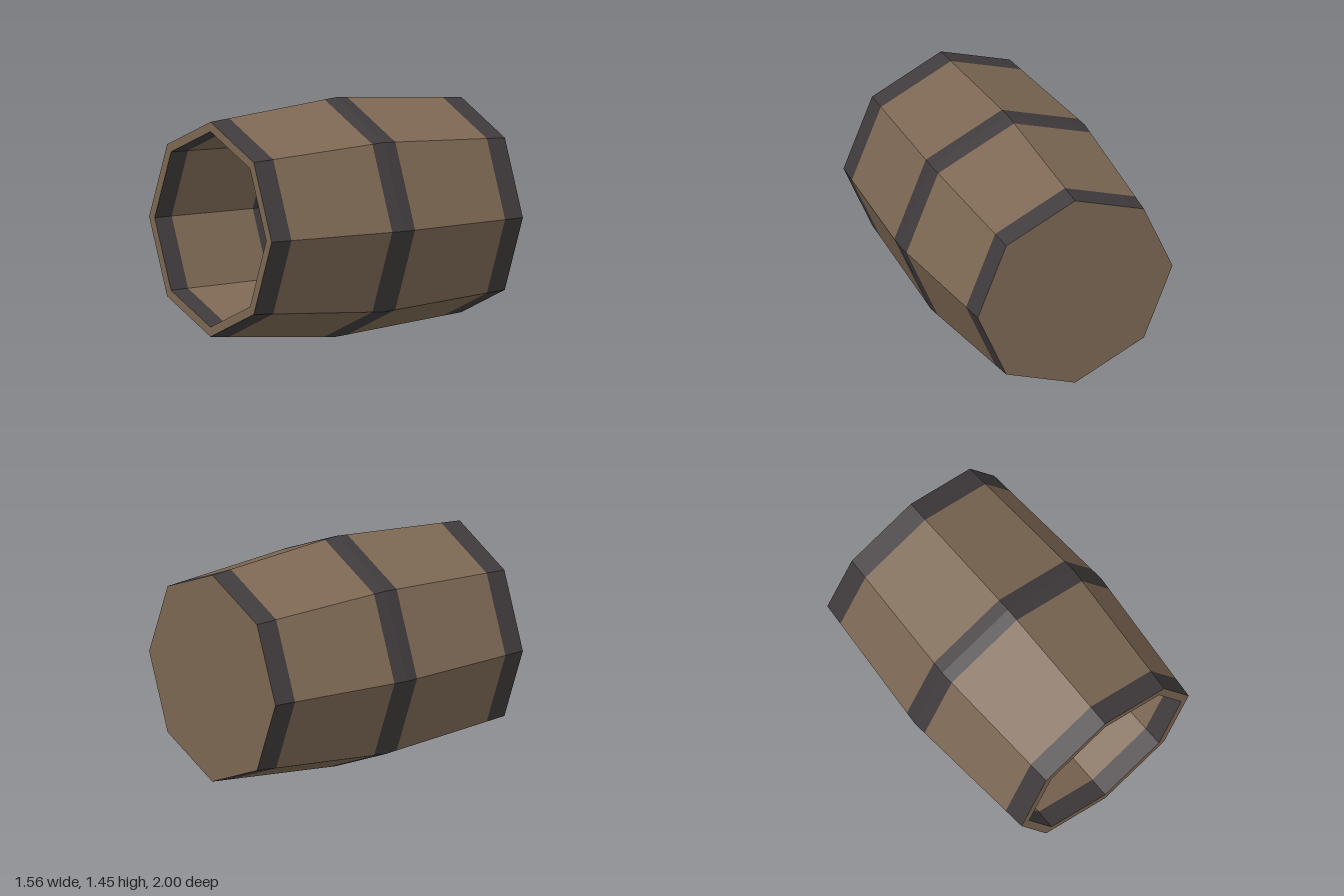
import * as THREE from 'three';

const wood = new THREE.MeshStandardMaterial({ color: 0x7d6854, flatShading: true });
wood.name = 'wood';
const iron = new THREE.MeshStandardMaterial({ color: 0x403b3c, flatShading: true });
iron.name = 'iron';

const HALF = 0.911, BELLY = 0.725, END = 0.65;
const INNER = 0.592, FLOOR_R = 0.552, FLOOR = -0.61;

// Radius of the bulging outer wall at a distance along the axis
const outer = (t) => [BELLY - (BELLY - END) * Math.abs(t) / HALF, t];
// Point on the tapering inner wall, from rim (0) to floor (1)
const inner = (f) => [INNER + (FLOOR_R - INNER) * f, HALF + (FLOOR - HALF) * f];

export function createModel() {
  const barrel = new THREE.Group();
  barrel.name = 'barrel';

  // Eight-sided ring swept from [radius, position] points, axis along z
  function ring(name, material, points) {
    const geometry = new THREE.LatheGeometry(points.map(([r, t]) => new THREE.Vector2(r, t)), 8);
    geometry.rotateX(Math.PI / 2);
    const mesh = new THREE.Mesh(geometry, material);
    mesh.name = name;
    barrel.add(mesh);
  }

  // Closed back end
  ring('backHead', wood, [[0, -HALF], outer(-HALF)]);

  // Outer staves and hoops, back to front
  ring('backHoop', iron, [-HALF, -0.775].map(outer));
  ring('backStaves', wood, [-0.775, -0.083].map(outer));
  ring('middleHoop', iron, [-0.083, 0, 0.083].map(outer));
  ring('frontStaves', wood, [0.083, 0.775].map(outer));
  ring('frontHoop', iron, [0.775, HALF].map(outer));

  // Flat rim of the open front
  ring('rim', wood, [outer(HALF), inner(0)]);

  // Hollow inside, front to back
  ring('innerFrontHoop', iron, [0, 0.08].map(inner));
  ring('innerFrontStaves', wood, [0.08, 0.46].map(inner));
  ring('innerMiddleHoop', iron, [0.46, 0.54].map(inner));
  ring('innerBackStaves', wood, [0.54, 1].map(inner));
  ring('innerFloor', wood, [inner(1), [0, FLOOR]]);

  // Lying on its side, turned slightly
  barrel.position.y = BELLY;
  barrel.rotation.y = -0.154;

  const model = new THREE.Group();
  model.name = 'lyingBarrel';
  model.add(barrel);
  return model;
}
